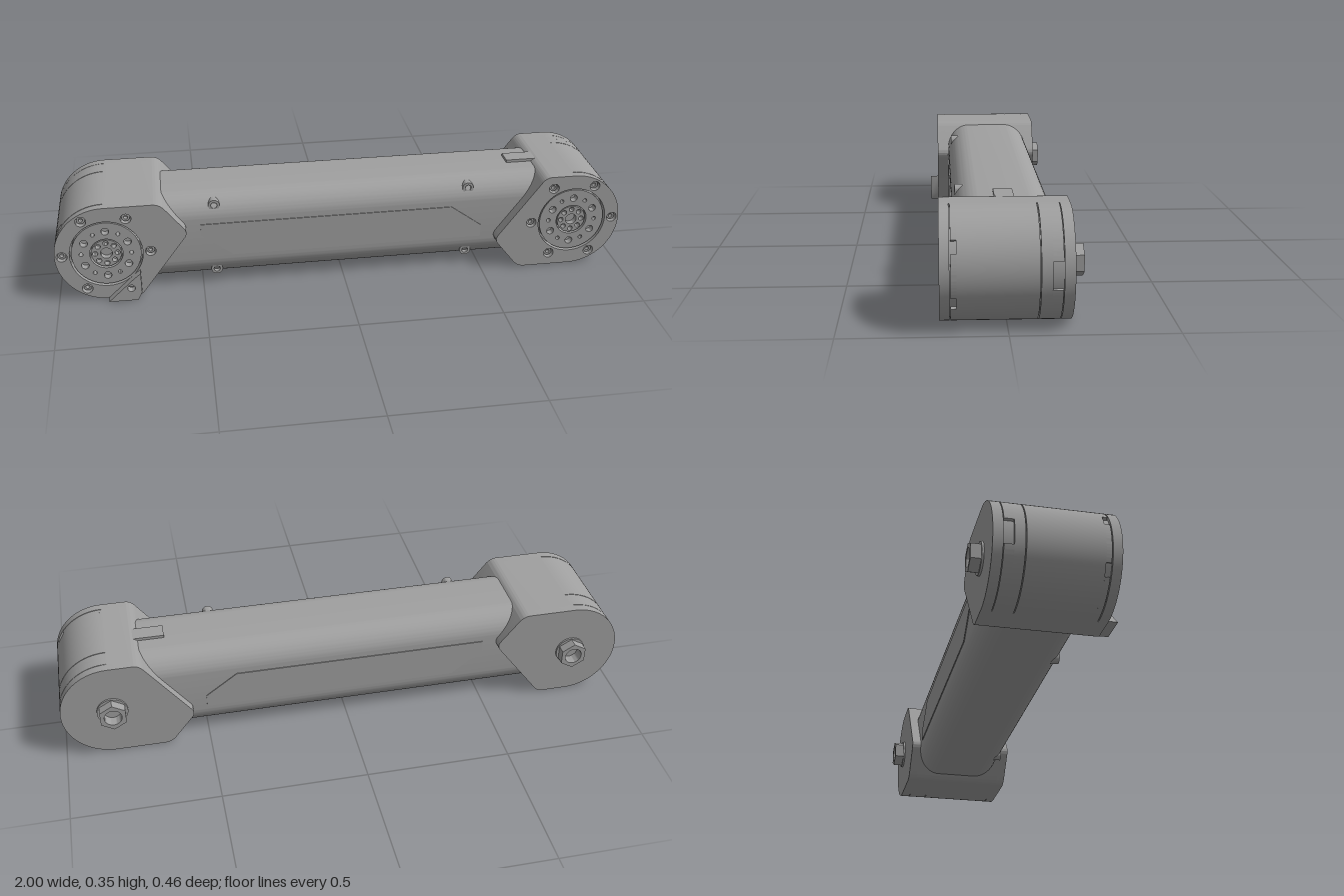
import * as THREE from 'three';
import { toCreasedNormals } from 'three/addons/utils/BufferGeometryUtils.js';

const R = 0.175, CX = 0.825, CY = 0.175;
const rad = THREE.MathUtils.degToRad;

export function createModel() {
  const metal = new THREE.MeshStandardMaterial({ color: 0xa0a0a0 });
  metal.name = 'grey metal';
  const model = new THREE.Group();
  model.name = 'robotArmLink';

  const add = (parent, name, geo) => {
    const m = new THREE.Mesh(geo, metal);
    m.name = name;
    parent.add(m);
    return m;
  };
  // flat shape pushed from z0 to z1, smooth around curves and sharp at edges
  const slab = (shape, z0, z1, seg = 24) => {
    const g = new THREE.ExtrudeGeometry(shape, { depth: z1 - z0, bevelEnabled: false, curveSegments: seg });
    g.translate(0, 0, z0);
    return toCreasedNormals(g, rad(35));
  };
  const polygon = pts => new THREE.Shape(pts.map(p => new THREE.Vector2(p[0], p[1])));
  const disc = r => new THREE.Shape().absarc(0, 0, r, 0, Math.PI * 2, false);
  const hole = (shape, x, y, r) => shape.holes.push(new THREE.Path().absarc(x, y, r, 0, Math.PI * 2, true));
  const ringOfHoles = (shape, n, dist, r, start = 0) => {
    for (let i = 0; i < n; i++) {
      const a = start + i * Math.PI * 2 / n;
      hole(shape, dist * Math.cos(a), dist * Math.sin(a), r);
    }
  };

  // joint side outline: round outside, blunt arrow towards the arm (+x)
  const jointOutline = (r = R) => {
    const s = new THREE.Shape();
    s.moveTo(0, R);
    s.absarc(0, 0, r, Math.PI / 2, Math.PI * 1.5, false);
    s.lineTo(0, -R);
    s.lineTo(0.085, -R);
    s.quadraticCurveTo(0.107, -R, 0.122, -0.153);
    s.lineTo(0.267, 0.039);
    s.quadraticCurveTo(0.282, 0.058, 0.268, 0.076);
    s.lineTo(0.207, 0.153);
    s.quadraticCurveTo(0.19, R, 0.165, R);
    s.lineTo(0, R);
    return s;
  };
  const shellSector = (a0, a1) => {
    const s = new THREE.Shape();
    s.absarc(0, 0, R, rad(a0), rad(a1), false);
    s.absarc(0, 0, 0.15, rad(a1), rad(a0), true);
    s.closePath();
    return s;
  };

  const buildJoint = name => {
    const joint = new THREE.Group();
    joint.name = name;
    add(joint, 'jointCore', slab(jointOutline(0.165), -0.16, 0.17));
    add(joint, 'rearCap', slab(jointOutline(), -0.19, -0.158));

    // shell bands with fine seams, notches and an end slot: z0, z1, angle pairs
    const bands = [
      [-0.156, -0.125, [[90, 166], [194, 270]]],
      [-0.125, -0.092, [[90, 270]]],
      [-0.089, 0.150, [[90, 270]]],
      [0.150, 0.167, [[90, 144], [158, 202], [216, 270]]],
    ];
    for (const [z0, z1, arcs] of bands)
      for (const [a0, a1] of arcs) add(joint, 'shellBand', slab(shellSector(a0, a1), z0, z1));

    // front cap with screw wells around the output flange
    const cap = jointOutline();
    hole(cap, 0, 0, 0.124);
    ringOfHoles(cap, 6, 0.15, 0.018);
    add(joint, 'frontCap', slab(cap, 0.17, 0.2));
    for (let i = 0; i < 6; i++) {
      const s = disc(0.014);
      hole(s, 0, 0, 0.007);
      const a = i * Math.PI / 3;
      add(joint, 'capScrew', slab(s, 0.168, 0.188, 8)).position.set(0.15 * Math.cos(a), 0.15 * Math.sin(a), 0);
    }
    const flange = disc(0.118);
    hole(flange, 0, 0, 0.056);
    ringOfHoles(flange, 6, 0.085, 0.013, 0.5);
    ringOfHoles(flange, 6, 0.085, 0.007, 1.02);
    add(joint, 'outputFlange', slab(flange, 0.165, 0.196));
    const hub = disc(0.051);
    ringOfHoles(hub, 8, 0.038, 0.009);
    hole(hub, 0, 0, 0.02);
    add(joint, 'outputHub', slab(hub, 0.165, 0.193));

    // hollow nut on the rear side
    const collar = disc(0.053), nut = new THREE.Shape(), sides = 6;
    for (let i = 0; i < sides; i++) {
      const a = i * Math.PI / 3 + Math.PI / 6;
      nut[i ? 'lineTo' : 'moveTo'](0.05 * Math.cos(a), 0.05 * Math.sin(a));
    }
    nut.closePath();
    for (const s of [collar, nut]) hole(s, 0, 0, 0.03);
    add(joint, 'rearCollar', slab(collar, -0.197, -0.188));
    add(joint, 'rearNut', slab(nut, -0.23, -0.195));
    model.add(joint);
    return joint;
  };

  const rightJoint = buildJoint('rightJoint');
  rightJoint.position.set(-CX, CY, 0);
  const leftJoint = buildJoint('leftJoint');
  leftJoint.position.set(CX, CY, 0);
  leftJoint.rotation.z = Math.PI;

  // small cover tab on top of the arm at the left joint
  add(model, 'coverTab', new THREE.BoxGeometry(0.11, 0.03, 0.06)).position.set(0.675, 0.333, 0);

  // stop block on the front of the right joint
  const stop = polygon([[-0.83, 0.002], [-0.73, 0.002], [-0.715, 0.03], [-0.715, 0.105], [-0.74, 0.085]]);
  hole(stop, -0.75, 0.05, 0.013);
  add(model, 'stopBlock', slab(stop, 0.2, 0.23));

  // arm tube: rounded rectangle section along x
  const hw = 0.157, y0 = 0.022, y1 = 0.338, r = 0.085;
  const section = new THREE.Shape();
  section.absarc(hw - r, y1 - r, r, 0, Math.PI / 2, false);
  section.absarc(-hw + r, y1 - r, r, Math.PI / 2, Math.PI, false);
  section.absarc(-hw + r, y0 + r, r, Math.PI, Math.PI * 1.5, false);
  section.absarc(hw - r, y0 + r, r, Math.PI * 1.5, Math.PI * 2, false);
  section.closePath();
  add(model, 'armTube', slab(section, -0.73, 0.73, 12).rotateY(Math.PI / 2));

  // slim side panels, front and back
  const panel = polygon([[-0.5, 0.2], [-0.39, 0.115], [0.5, 0.115], [0.5, 0.16], [0.39, 0.24], [-0.5, 0.24]]);
  add(model, 'frontPanel', slab(panel, hw - 0.001, hw + 0.003));
  add(model, 'backPanel', slab(panel, -hw - 0.003, -hw + 0.001));

  // arm screws
  for (const x of [-0.45, 0.45]) for (const y of [0.055, 0.305]) {
    const s = disc(0.02);
    hole(s, 0, 0, 0.011);
    add(model, 'armScrew', slab(s, 0.11, 0.147, 10)).position.set(x, y, 0);
  }
  return model;
}
